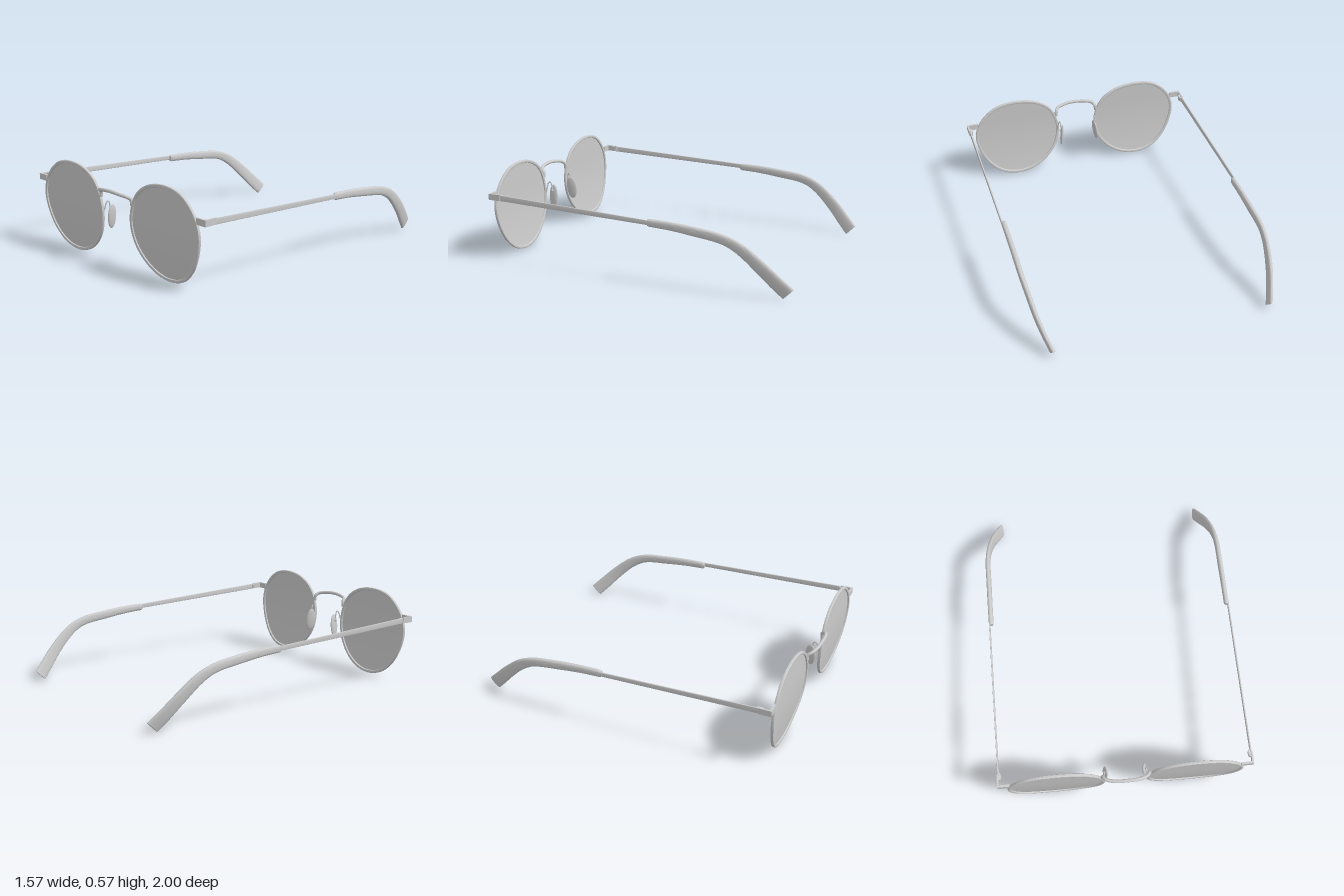
import * as THREE from 'three';
import { toCreasedNormals } from 'three/addons/utils/BufferGeometryUtils.js';

const V = (x, y, z) => new THREE.Vector3(x, y, z);
const material = new THREE.MeshStandardMaterial({ color: 0xcccccc, roughness: 0.6 });
const lensMaterial = new THREE.MeshStandardMaterial({ color: 0xcccccc, roughness: 0.6, side: THREE.DoubleSide });

function part(name, geometry, mat = material) {
  const mesh = new THREE.Mesh(geometry, mat);
  mesh.name = name;
  return mesh;
}

// Cross-section with axes u and v; power below 1 squares off the ellipse
function section(center, u, v, width, height, power, sides) {
  const ring = [];
  const bend = (n) => Math.sign(n) * Math.pow(Math.abs(n), power);
  for (let i = 0; i < sides; i++) {
    const a = ((i + 0.5) / sides) * Math.PI * 2;
    ring.push(center.clone()
      .addScaledVector(u, (bend(Math.cos(a)) * width) / 2)
      .addScaledVector(v, (bend(Math.sin(a)) * height) / 2));
  }
  return ring;
}

// Skin joining successive sections, either a closed loop or with end caps
function loft(rings, closed, crease = 0.7) {
  const n = rings[0].length, pts = rings.flat(), index = [];
  const count = closed ? rings.length : rings.length - 1;
  for (let k = 0; k < count; k++) {
    const a = k * n, b = ((k + 1) % rings.length) * n;
    for (let i = 0; i < n; i++) {
      const j = (i + 1) % n;
      index.push(a + i, a + j, b + j, a + i, b + j, b + i);
    }
  }
  if (!closed) {
    const e = (rings.length - 1) * n;
    for (let i = 1; i < n - 1; i++) {
      index.push(0, i + 1, i, e, e + i, e + i + 1);
    }
  }
  const g = new THREE.BufferGeometry().setFromPoints(pts);
  g.setIndex(index);
  return toCreasedNormals(g, crease);
}

// Front plane that sweeps back towards the bottom
const faceZ = (y) => 0.944 - 0.036 * Math.pow(Math.max(0, 0.42 - y) / 0.41, 2);

// Lens outline, counter-clockwise from the upper outer corner
const CX = 0.432, CY = 0.295;
const outline = new THREE.CatmullRomCurve3([
  [0.69, 0.457], [0.585, 0.55], [0.445, 0.578], [0.29, 0.552], [0.186, 0.478],
  [0.131, 0.335], [0.15, 0.2], [0.226, 0.092], [0.33, 0.026], [0.445, 0.005],
  [0.565, 0.034], [0.66, 0.12], [0.719, 0.245], [0.731, 0.35],
].map(([x, y]) => V(CX + (x - CX) * 0.967, CY + (y - CY) * 0.967, 0)), true, 'centripetal');

function rimGeometry() {
  const rings = [], steps = 96, z = V(0, 0, 1);
  for (let i = 0; i < steps; i++) {
    const p = outline.getPointAt(i / steps), t = outline.getTangentAt(i / steps);
    p.z = faceZ(p.y);
    rings.push(section(p, z.clone().cross(t).normalize(), z, 0.02, 0.02, 0.6, 12));
  }
  return loft(rings, true);
}

function lensGeometry() {
  const steps = 96, bands = 10;
  const g = new THREE.RingGeometry(0, 1, steps, bands);
  const pos = g.attributes.position;
  for (let j = 0, k = 0; j <= bands; j++) {
    for (let i = 0; i <= steps; i++, k++) {
      const p = outline.getPointAt((i % steps) / steps), s = j / bands;
      const x = CX + (p.x - CX) * s, y = CY + (p.y - CY) * s;
      pos.setXYZ(k, x, y, faceZ(y));
    }
  }
  g.computeVertexNormals();
  return g;
}

// Sleeve profile: x, y, z, thickness, height
function tipGeometry() {
  const keys = [
    [0.767, 0.383, -0.128, 0.022, 0.036], [0.767, 0.383, -0.14, 0.03, 0.046],
    [0.767, 0.378, -0.27, 0.031, 0.05], [0.767, 0.364, -0.42, 0.032, 0.056],
    [0.767, 0.338, -0.6, 0.031, 0.058], [0.758, 0.291, -0.7, 0.03, 0.068],
    [0.736, 0.188, -0.82, 0.03, 0.08], [0.71, 0.105, -0.9, 0.029, 0.086],
    [0.684, 0.037, -0.967, 0.026, 0.088],
  ];
  const path = new THREE.CatmullRomCurve3(keys.map((k) => V(k[0], k[1], k[2])), false, 'centripetal');
  const sizes = new THREE.CatmullRomCurve3(keys.map((k) => V(k[3], k[4], 0)), false, 'centripetal');
  const rings = [], steps = 48, x = V(1, 0, 0);
  for (let i = 0; i <= steps; i++) {
    const t = path.getTangent(i / steps).setX(0).normalize(), size = sizes.getPoint(i / steps);
    rings.push(section(path.getPoint(i / steps), x, t.cross(x), size.x, size.y, 0.75, 20));
  }
  return loft(rings, false);
}

function templeGeometry() {
  const x = V(1, 0, 0), down = V(0, -1, 0);
  return loft([[0.423, 0.872, 0.036], [0.385, -0.15, 0.028]].map(([y, z, h]) =>
    section(V(0.777, y, z), x, down, 0.009, h, 0.3, 16)), false);
}

function tube(points, radius, segments = 32) {
  return new THREE.TubeGeometry(new THREE.CatmullRomCurve3(points), segments, radius, 10);
}

function box(w, h, d, x, y, z) {
  return new THREE.BoxGeometry(w, h, d).translate(x, y, z);
}

function buildSide(name) {
  const side = new THREE.Group();
  side.name = name;
  side.add(part('rim', rimGeometry()), part('lens', lensGeometry(), lensMaterial));

  // Endpiece wrapping round the corner, with its hinge
  side.add(part('endpieceFront', box(0.076, 0.038, 0.014, 0.748, 0.425, 0.944)));
  side.add(part('endpieceSide', box(0.011, 0.038, 0.078, 0.7805, 0.425, 0.91)));
  const hinge = new THREE.CylinderGeometry(0.012, 0.012, 0.03, 12);
  side.add(part('hinge', hinge.scale(1, 1, 2).translate(0.771, 0.424, 0.88)));

  side.add(part('temple', templeGeometry()), part('templeTip', tipGeometry()));

  // Nose pad on its curled wire
  const pad = part('nosePad', new THREE.SphereGeometry(1, 24, 16).scale(0.011, 0.077, 0.035));
  pad.position.set(0.123, 0.277, 0.884);
  pad.rotation.set(0.05, -0.18, 0.11);
  side.add(pad);
  side.add(part('padArm', tube([
    V(0.143, 0.29, 0.937), V(0.14, 0.325, 0.925), V(0.132, 0.365, 0.917),
    V(0.128, 0.375, 0.905), V(0.127, 0.355, 0.896), V(0.127, 0.315, 0.89),
  ], 0.004)));
  side.add(part('padMount', new THREE.SphereGeometry(0.01, 12, 8).translate(0.128, 0.313, 0.89)));
  return side;
}

export function createModel() {
  const model = new THREE.Group();
  model.name = 'eyeglasses';
  const left = buildSide('leftSide'), right = buildSide('rightSide');
  right.scale.x = -1;
  model.add(left, right);

  // Bridge arching up and forward between the rims
  const half = [[0.148, 0.405, 0.943], [0.142, 0.44, 0.945], [0.128, 0.456, 0.966], [0.09, 0.464, 0.981], [0.045, 0.47, 0.988]];
  const points = [
    ...half.map(([x, y, z]) => V(-x, y, z)), V(0, 0.472, 0.989),
    ...half.reverse().map(([x, y, z]) => V(x, y, z)),
  ];
  model.add(part('bridge', tube(points, 0.011, 64)));
  return model;
}
